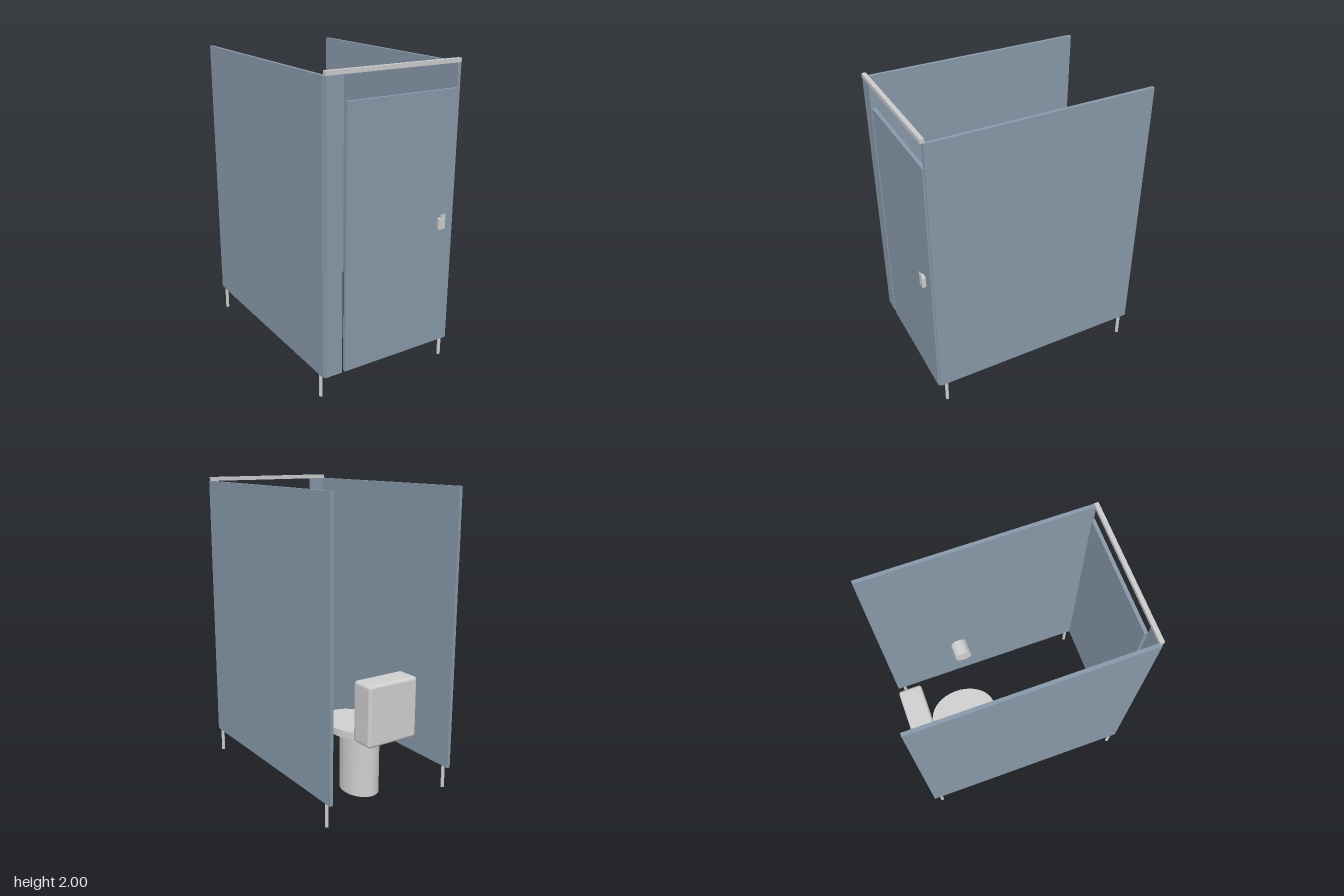
import * as THREE from 'three';
import { RoundedBoxGeometry } from 'three/addons/geometries/RoundedBoxGeometry.js';

export function createModel() {
  const model = new THREE.Group();
  model.name = 'toiletStall';

  const mat = (name, color) => {
    const m = new THREE.MeshStandardMaterial({ color });
    m.name = name;
    return m;
  };
  const panelBlue = mat('panelBlue', 0x8899aa);
  const metal = mat('metal', 0xcccccc);
  const porcelain = mat('porcelain', 0xd0d0d1);

  const add = (name, geometry, material, x, y, z, parent = model) => {
    const mesh = new THREE.Mesh(geometry, material);
    mesh.name = name;
    mesh.position.set(x, y, z);
    parent.add(mesh);
    return mesh;
  };
  // box given by its limits on each axis
  const box = (name, material, [x0, x1], [y0, y1], [z0, z1], parent) =>
    add(name, new THREE.BoxGeometry(x1 - x0, y1 - y0, z1 - z0), material,
      (x0 + x1) / 2, (y0 + y1) / 2, (z0 + z1) / 2, parent);
  // upright elliptical cylinder
  const oval = (name, rx, rz, y0, y1, z, parent) => {
    const g = new THREE.CylinderGeometry(1, 1, y1 - y0, 48).scale(rx, 1, rz);
    return add(name, g, porcelain, 0, (y0 + y1) / 2, z, parent);
  };

  // side walls and their feet
  for (const [side, s] of [['left', 1], ['right', -1]]) {
    add(side + 'Wall', new THREE.BoxGeometry(0.023, 1.82, 1.474), panelBlue, s * 0.467, 1.065, -0.02);
    for (const [end, z] of [['Front', 0.672], ['Back', -0.707]]) {
      add(side + end + 'Foot', new THREE.CylinderGeometry(0.0115, 0.0115, 0.155, 16), metal, s * 0.467, 0.0775, z);
    }
  }

  // front: fixed post panel, door and top rail
  box('frontPost', panelBlue, [-0.467, -0.35], [0.155, 1.975], [0.706, 0.729]);
  box('door', panelBlue, [-0.329, 0.467], [0.155, 1.825], [0.706, 0.729]);
  box('topRail', metal, [-0.467, 0.467], [1.974, 2], [0.704, 0.731]);

  // door latch with its small indicator
  const latch = new THREE.Group();
  latch.name = 'doorLatch';
  model.add(latch);
  add('latchBody', new RoundedBoxGeometry(0.048, 0.077, 0.027, 3, 0.005), metal, 0.368, 0.988, 0.7415, latch);
  box('latchIndicator', metal, [0.351, 0.386], [1.026, 1.052], [0.752, 0.757], latch);

  // toilet
  const toilet = new THREE.Group();
  toilet.name = 'toilet';
  model.add(toilet);
  oval('pedestal', 0.117, 0.152, 0, 0.41, -0.401, toilet);
  oval('bowlRim', 0.177, 0.232, 0.405, 0.43, -0.345, toilet);
  oval('seatLid', 0.18, 0.236, 0.43, 0.455, -0.345, toilet);
  add('tank', new RoundedBoxGeometry(0.37, 0.395, 0.163, 4, 0.02), porcelain, 0, 0.635, -0.661, toilet);
  box('lidHinge', porcelain, [-0.033, 0.033], [0.44, 0.475], [-0.6, -0.57], toilet);

  // paper roll beside the left wall
  const roll = new THREE.CylinderGeometry(0.059, 0.059, 0.11, 32).rotateZ(Math.PI / 2);
  add('paperRoll', roll, porcelain, 0.387, 0.69, -0.22);

  return model;
}
